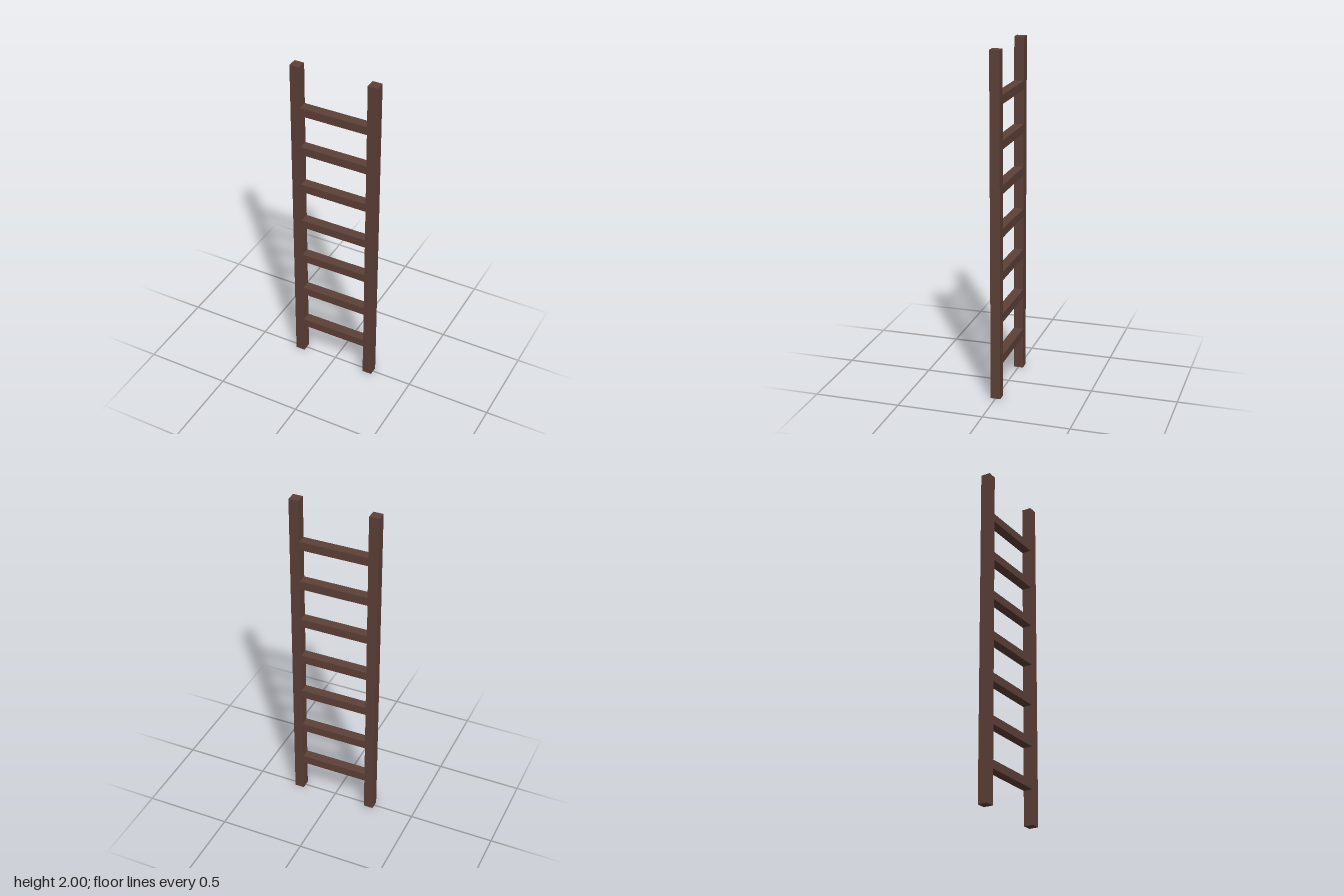
import * as THREE from 'three';

export function createModel() {
  const group = new THREE.Group();
  group.name = 'ladder';
  const wood = new THREE.MeshStandardMaterial({ color: 0x5d4037, flatShading: true });

  const height = 2;
  const thickness = 0.057; // square section of the rails
  const innerHalf = 0.201; // half the gap between the rails

  const addBeam = (name, w, h, d, x, y) => {
    const beam = new THREE.Mesh(new THREE.BoxGeometry(w, h, d), wood);
    beam.name = name;
    beam.position.set(x, y, 0);
    group.add(beam);
  };

  // Two upright rails
  for (const side of [1, -1]) {
    addBeam(side > 0 ? 'leftRail' : 'rightRail',
      thickness, height, thickness, side * (innerHalf + thickness / 2), height / 2);
  }

  // Seven evenly spaced rungs, flush with the rails front and back
  for (let i = 0; i < 7; i++) {
    addBeam(`rung${i + 1}`, innerHalf * 2, 0.05, thickness, 0, 0.227 + i * 0.25);
  }

  return group;
}
